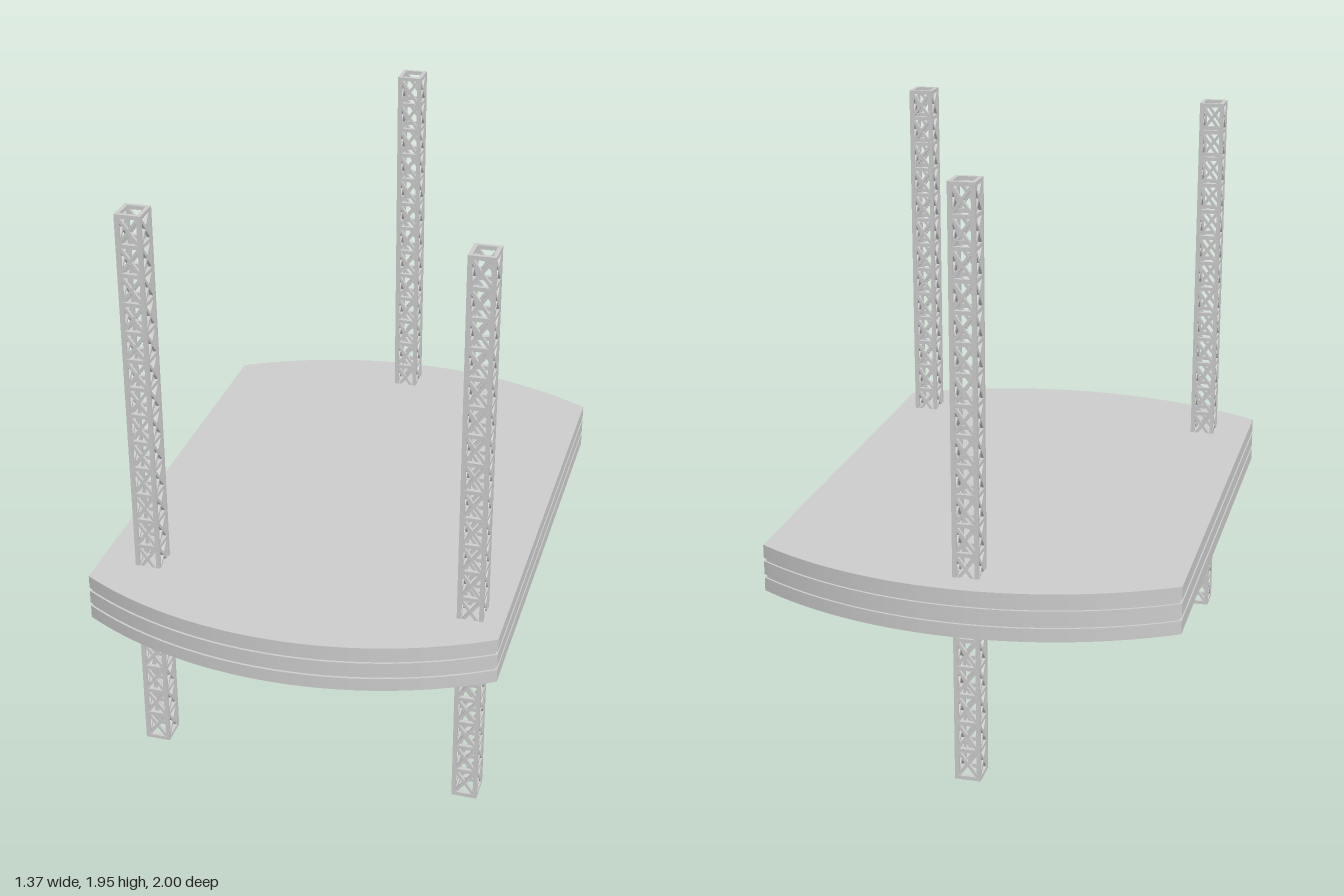
import * as THREE from 'three';
import { mergeGeometries } from 'three/addons/utils/BufferGeometryUtils.js';

const material = new THREE.MeshStandardMaterial({ color: 0xcccccc, flatShading: true });

// Barrel-shaped plan: straight sides, circular arcs at front and back
function slab(name, y0, y1, inset) {
  const halfWidth = 0.685 - inset, endZ = 1 - inset, radius = 1.33;
  const centre = endZ - radius;
  const a = Math.asin(halfWidth / radius);
  const shape = new THREE.Shape();
  shape.absarc(0, centre, radius, Math.PI / 2 - a, Math.PI / 2 + a, false);
  shape.absarc(0, -centre, radius, -Math.PI / 2 - a, -Math.PI / 2 + a, false);
  shape.closePath();
  const geometry = new THREE.ExtrudeGeometry(shape, { depth: y1 - y0, bevelEnabled: false, curveSegments: 32 });
  geometry.rotateX(-Math.PI / 2).translate(0, y0, 0);
  const mesh = new THREE.Mesh(geometry, material);
  mesh.name = name;
  return mesh;
}

// Square bar between two points
function bar(a, b, thickness) {
  const dir = b.clone().sub(a);
  const geometry = new THREE.BoxGeometry(thickness, dir.length(), thickness);
  geometry.applyQuaternion(new THREE.Quaternion().setFromUnitVectors(new THREE.Vector3(0, 1, 0), dir.normalize()));
  const mid = a.clone().add(b).multiplyScalar(0.5);
  return geometry.translate(mid.x, mid.y, mid.z);
}

// Lattice mast: four posts, rungs and crossed braces on each face
function latticeGeometry() {
  const height = 1.95, cells = 20, post = 0.013, brace = 0.01;
  const hx = 0.0425 - post / 2, hz = 0.0475 - post / 2;
  const corners = [[hx, hz], [-hx, hz], [-hx, -hz], [hx, -hz]];
  const at = (i, y) => new THREE.Vector3(corners[i % 4][0], y, corners[i % 4][1]);
  const step = (height - post) / cells;
  const parts = [];
  for (let i = 0; i < 4; i++) {
    parts.push(bar(at(i, 0), at(i, height), post));
    for (let j = 0; j <= cells; j++) {
      const y = post / 2 + j * step;
      parts.push(bar(at(i, y), at(i + 1, y), post));
      if (j === cells) continue;
      parts.push(bar(at(i, y), at(i + 1, y + step), brace));
      parts.push(bar(at(i + 1, y), at(i, y + step), brace));
    }
  }
  return mergeGeometries(parts);
}

export function createModel() {
  const model = new THREE.Group();
  model.name = 'platformOnMasts';

  // Three stacked deck plates separated by recessed joints
  const deck = new THREE.Group();
  deck.name = 'deck';
  deck.add(
    slab('lowerPlate', 0.545, 0.59, 0),
    slab('lowerJoint', 0.59, 0.602, 0.008),
    slab('middlePlate', 0.602, 0.648, 0),
    slab('upperJoint', 0.648, 0.66, 0.008),
    slab('upperPlate', 0.66, 0.705, 0)
  );
  model.add(deck);

  // Three masts passing through the deck
  const lattice = latticeGeometry();
  for (const [name, x, z] of [
    ['frontRightMast', -0.518, 0.658],
    ['frontLeftMast', 0.576, 0.682],
    ['backMast', -0.022, -0.863]
  ]) {
    const mast = new THREE.Mesh(lattice, material);
    mast.name = name;
    mast.position.set(x, 0, z);
    model.add(mast);
  }
  return model;
}
